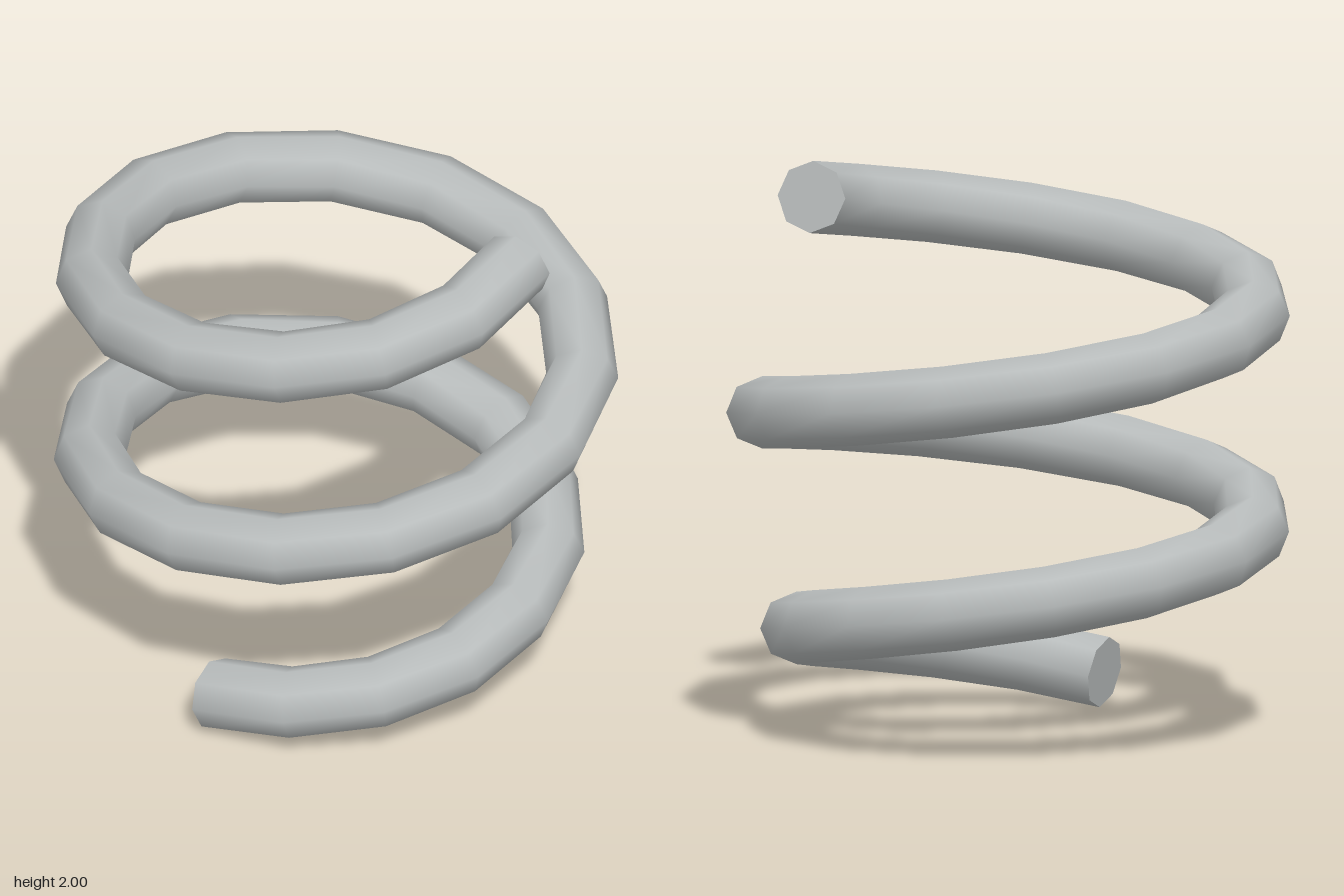
import * as THREE from 'three';

const SEGMENTS = 34, SIDES = 8, WIRE = 0.128;
const STEP = Math.PI * 2 / 15;

// Coil radius along the wire: [segment, radius]
const RADII = [[0, 0.722], [2, 0.736], [4, 0.746], [6, 0.778], [8, 0.813], [11, 0.86], [15, 0.873],
  [19, 0.878], [22.5, 0.893], [26, 0.875], [30, 0.838], [32, 0.815], [34, 0.77]];

function coilRadius(k) {
  const i = Math.min(Math.max(RADII.findIndex(p => p[0] >= k), 1), RADII.length - 1);
  const [a, b] = [RADII[i - 1], RADII[i]];
  return THREE.MathUtils.lerp(a[1], b[1], (k - a[0]) / (b[0] - a[0]));
}

// Centre line of the rising coil
function centre(k) {
  const r = coilRadius(k), a = k * STEP;
  const drift = -0.025 * THREE.MathUtils.smoothstep(k, 26, 34);
  return new THREE.Vector3(-r * Math.cos(a) + drift, 0.127 + 1.746 * k / SEGMENTS, r * Math.sin(a));
}

// Octagonal ring square to the wire, with one corner pointing outward
function ring(k) {
  const c = centre(k), a = k * STEP;
  const tangent = new THREE.Vector3(Math.sin(a) * 0.82, 1.746 / SEGMENTS / STEP, Math.cos(a) * 0.82).normalize();
  const out = new THREE.Vector3(-Math.cos(a), 0, Math.sin(a));
  const up = new THREE.Vector3().crossVectors(tangent, out);
  const points = [];
  for (let j = 0; j <= SIDES; j++) {
    const b = j / SIDES * Math.PI * 2;
    const normal = out.clone().multiplyScalar(Math.cos(b)).addScaledVector(up, Math.sin(b));
    points.push({ normal, position: c.clone().addScaledVector(normal, WIRE) });
  }
  return { c, tangent, points };
}

function buildGeometry(positions, normals, index) {
  const g = new THREE.BufferGeometry();
  g.setAttribute('position', new THREE.Float32BufferAttribute(positions, 3));
  g.setAttribute('normal', new THREE.Float32BufferAttribute(normals, 3));
  g.setIndex(index);
  return g;
}

function wireGeometry() {
  const positions = [], normals = [], index = [], row = SIDES + 1;
  for (let k = 0; k <= SEGMENTS; k++) {
    for (const p of ring(k).points) {
      positions.push(...p.position.toArray());
      normals.push(...p.normal.toArray());
    }
  }
  for (let k = 0; k < SEGMENTS; k++) {
    for (let j = 0; j < SIDES; j++) {
      const a = k * row + j, b = a + 1, c = a + row, d = c + 1;
      index.push(a, b, c, b, d, c);
    }
  }
  return buildGeometry(positions, normals, index);
}

// Flat end of the wire
function capGeometry(k, sign) {
  const { c, tangent, points } = ring(k);
  const n = tangent.clone().multiplyScalar(sign).toArray();
  const positions = [...c.toArray()], normals = [...n], index = [];
  for (const p of points) {
    positions.push(...p.position.toArray());
    normals.push(...n);
  }
  for (let j = 1; j <= SIDES; j++) index.push(0, ...(sign > 0 ? [j, j + 1] : [j + 1, j]));
  return buildGeometry(positions, normals, index);
}

export function createModel() {
  const steel = new THREE.MeshStandardMaterial({ color: 0xb8bcbc });
  steel.name = 'steel grey';
  const spring = new THREE.Group();
  spring.name = 'spring';
  const add = (name, geometry) => {
    const mesh = new THREE.Mesh(geometry, steel);
    mesh.name = name;
    spring.add(mesh);
  };
  add('coil', wireGeometry());
  add('bottomEnd', capGeometry(0, -1));
  add('topEnd', capGeometry(SEGMENTS, 1));
  return spring;
}
